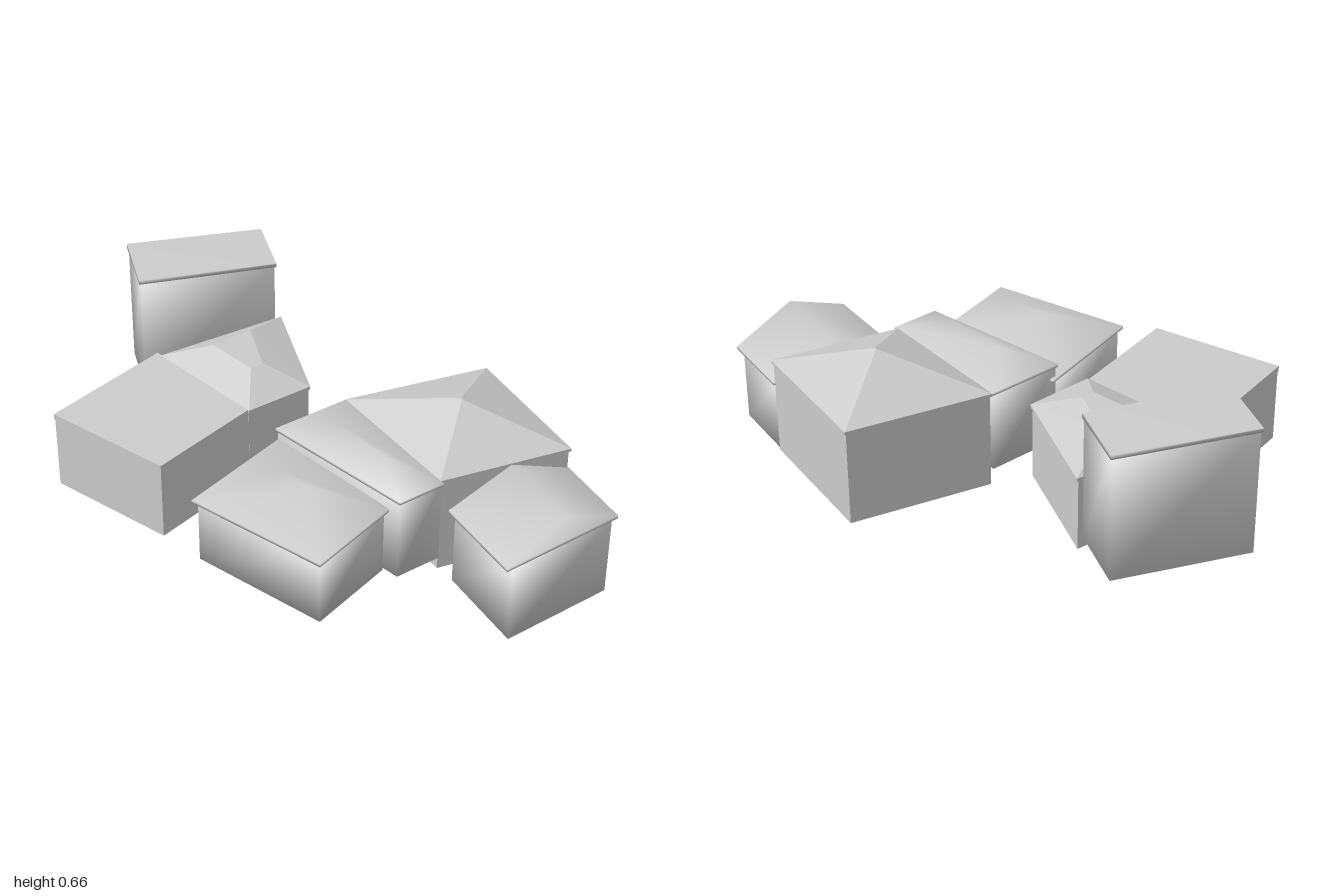
import * as THREE from 'three';
import { mergeVertices } from 'three/addons/utils/BufferGeometryUtils.js';

// Closed loft through four-cornered rings (back left, back right, front right, front left)
function loft(rings, smooth) {
  const pos = [];
  const tri = (a, b, c) => {
    const n = b.clone().sub(a).cross(c.clone().sub(a));
    if (n.length() > 1e-6) for (const p of [a, b, c]) pos.push(p.x, p.y, p.z);
  };
  for (let r = 0; r < rings.length - 1; r++) {
    for (let i = 0; i < 4; i++) {
      const j = (i + 1) % 4, lo = rings[r], hi = rings[r + 1];
      tri(lo[i], hi[i], lo[j]);
      tri(lo[j], hi[i], hi[j]);
    }
  }
  const b = rings[0], t = rings[rings.length - 1];
  tri(t[0], t[3], t[1]);
  tri(t[1], t[3], t[2]);
  tri(b[0], b[1], b[3]);
  tri(b[1], b[2], b[3]);
  let geo = new THREE.BufferGeometry();
  geo.setAttribute('position', new THREE.Float32BufferAttribute(pos, 3));
  if (smooth) geo = mergeVertices(geo, 1e-4);
  geo.computeVertexNormals();
  return geo;
}

const ring = (pts, y) => pts.map(([x, z]) => new THREE.Vector3(x, y, z));

// Pull the footprint in under the eaves: k along the width, m along the depth
function inset([bl, br, fr, fl], k, m) {
  const mix = (a, b, t) => [a[0] + (b[0] - a[0]) * t, a[1] + (b[1] - a[1]) * t];
  const at = (u, v) => mix(mix(bl, br, u), mix(fl, fr, u), v);
  return [at(k, m), at(1 - k, m), at(1 - k, 1 - m), at(k, 1 - m)];
}

const ridge = (back, front) => [back, back, front, front];

const houses = [
  { // gabled, ridge running front to back
    name: 'gabledHut', smooth: true, base: 0, eave: 0.32, top: 0.425, in: [0.055, 0.003],
    foot: [[0.293, 0.625], [0.8, 0.565], [0.82, 0.88], [0.328, 0.995]],
    crown: ridge([0.547, 0.597], [0.572, 0.937]),
  },
  { // short hipped ridge
    name: 'leftHouse', smooth: true, base: 0.09, eave: 0.355, top: 0.45, in: [0.04, 0.02],
    foot: [[-0.523, 0.266], [-0.09, 0.035], [0.085, 0.58], [-0.255, 0.767]],
    crown: ridge([-0.22, 0.35], [-0.17, 0.47]),
  },
  { // narrow house between its two neighbours
    name: 'middleHouse', smooth: true, base: 0.08, eave: 0.41, top: 0.47, in: [0.02, 0.01],
    foot: [[-0.12, 0.05], [0.188, -0.02], [0.29, 0.585], [0.103, 0.627]],
    crown: ridge([0.06, 0.17], [0.13, 0.43]),
  },
  { // pyramid roof
    name: 'pyramidHouse', smooth: false, base: 0.02, eave: 0.41, top: 0.525, in: [0.012, 0.01],
    foot: [[0.188, -0.022], [0.76, -0.008], [0.798, 0.575], [0.285, 0.57]],
    crown: ridge([0.5, 0.285], [0.5, 0.295]),
  },
  { // nearly flat roof
    name: 'flatHouse', smooth: false, base: 0.1, eave: 0.4, top: 0.41, in: [0.005, 0.005],
    foot: [[-0.826, -0.346], [-0.34, -0.588], [-0.16, -0.1], [-0.578, 0.108]],
  },
  { // cut-off hip with a small plateau
    name: 'backHouse', smooth: false, base: 0.11, eave: 0.41, top: 0.47, in: [0.02, 0.02],
    foot: [[-0.335, -0.565], [0.19, -0.645], [0.102, -0.15], [-0.165, -0.09]],
    crown: [[-0.16, -0.467], [0.008, -0.51], [-0.035, -0.28], [-0.087, -0.266]],
  },
  { // tall block at the back
    name: 'tower', smooth: true, base: 0.16, eave: 0.655, top: 0.66, in: [0.012, 0.01],
    foot: [[-0.309, -0.998], [0.214, -0.905], [0.168, -0.635], [-0.358, -0.715]],
  },
];

export function createModel() {
  const model = new THREE.Group();
  model.name = 'houseCluster';
  for (const h of houses) {
    const house = new THREE.Group();
    house.name = h.name;
    const add = (name, rings) => {
      const mat = new THREE.MeshStandardMaterial({ color: 0xcccccc, flatShading: !h.smooth });
      const mesh = new THREE.Mesh(loft(rings, h.smooth), mat);
      mesh.name = name;
      house.add(mesh);
    };
    // Walls
    const plan = inset(h.foot, ...h.in);
    add('walls', [ring(plan, h.base), ring(plan, h.eave - 0.005)]);
    // Roof with a thin eave band
    add('roof', [ring(h.foot, h.eave - 0.012), ring(h.foot, h.eave), ring(h.crown ?? h.foot, h.top)]);
    model.add(house);
  }
  return model;
}
